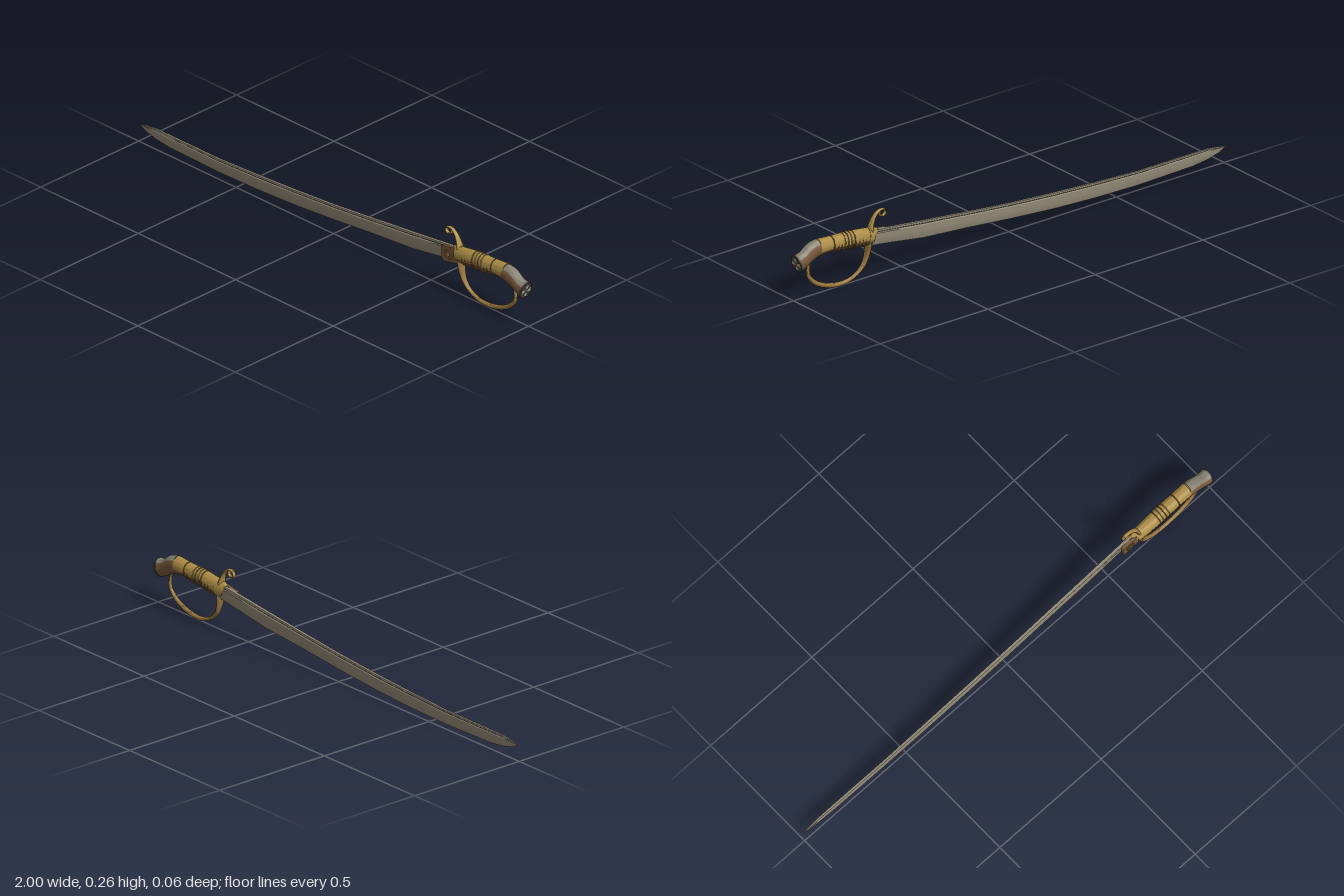
import * as THREE from 'three';
import { toCreasedNormals } from 'three/addons/utils/BufferGeometryUtils.js';

const mat = (name, color, side = THREE.FrontSide) => {
  const m = new THREE.MeshStandardMaterial({ color, side });
  m.name = name;
  return m;
};

// Skin a list of equal-length cross-sections; closed ones get end caps.
function loft(rings, closed = true, crease = 0.7) {
  const pos = [], idx = [], n = rings[0].length;
  rings.forEach(r => r.forEach(p => pos.push(p.x, p.y, p.z)));
  const cols = closed ? n : n - 1;
  for (let i = 0; i < rings.length - 1; i++) {
    for (let j = 0; j < cols; j++) {
      const a = i * n + j, b = i * n + (j + 1) % n;
      idx.push(a, b, a + n, b, b + n, a + n);
    }
  }
  if (closed) {
    [0, rings.length - 1].forEach((k, end) => {
      const c = new THREE.Vector3();
      rings[k].forEach(p => c.addScaledVector(p, 1 / n));
      const ci = pos.length / 3;
      pos.push(c.x, c.y, c.z);
      for (let j = 0; j < n; j++) {
        const a = k * n + j, b = k * n + (j + 1) % n;
        if (end) idx.push(ci, a, b); else idx.push(ci, b, a);
      }
    });
  }
  const g = new THREE.BufferGeometry();
  g.setAttribute('position', new THREE.Float32BufferAttribute(pos, 3));
  g.setIndex(idx);
  return toCreasedNormals(g, crease);
}

// Curve through stations [x, y, radius in plane, radius in z].
function rail(stations) {
  const path = new THREE.CatmullRomCurve3(stations.map(s => new THREE.Vector3(s[0], s[1], 0)));
  const size = new THREE.CatmullRomCurve3(stations.map(s => new THREE.Vector3(s[2], s[3], 0)));
  return t => ({ p: path.getPoint(t), d: path.getTangent(t), r: size.getPoint(t) });
}

// Elliptical sweep along a rail, over the whole outline or an arc of it.
function sweep(at, steps, sides, z, arc = null) {
  const rings = [];
  for (let i = 0; i <= steps; i++) {
    const { p, d, r } = at(i / steps), ring = [];
    for (let j = 0; j < (arc ? sides + 1 : sides); j++) {
      const a = arc ? arc[0] + (arc[1] - arc[0]) * j / sides : j / sides * Math.PI * 2;
      const c = Math.cos(a) * r.x;
      ring.push(new THREE.Vector3(p.x - d.y * c, p.y + d.x * c, z + Math.sin(a) * r.y));
    }
    rings.push(ring);
  }
  return loft(rings, !arc);
}

// Blade stations: x, lower edge, spine, half thickness.
const BLADE = [
  [-1, 0.064, 0.066, 0.0005], [-0.97, 0.048, 0.073, 0.003], [-0.92, 0.036, 0.079, 0.004],
  [-0.85, 0.028, 0.079, 0.005], [-0.6, 0.023, 0.079, 0.005], [-0.4, 0.027, 0.088, 0.0055],
  [-0.2, 0.037, 0.1, 0.006], [0, 0.053, 0.115, 0.006], [0.2, 0.072, 0.135, 0.0065],
  [0.3, 0.08, 0.146, 0.0065], [0.4, 0.088, 0.156, 0.007], [0.46, 0.097, 0.163, 0.007],
  [0.56, 0.112, 0.174, 0.007], [0.65, 0.124, 0.184, 0.007],
];
const BLADE_Z = -0.007;
// One lengthwise strip of the blade; outline points are [height fraction, thickness fraction].
const bladeStrip = (outline, crease) => loft(BLADE.map(([x, lo, hi, t]) =>
  outline.map(([f, w]) => new THREE.Vector3(x, lo + (hi - lo) * f, BLADE_Z + t * w))), false, crease);

export function createModel() {
  const steel = mat('blade steel', 0x928a77, THREE.DoubleSide);
  const dark = mat('dark steel', 0x45423a, THREE.DoubleSide);
  const brass = mat('brass', 0xab8c45, THREE.DoubleSide);
  const dullBrass = mat('dull brass', 0x977640, THREE.DoubleSide);
  const brown = mat('aged bronze', 0x78583a, THREE.DoubleSide);
  const cap = mat('grey cap', 0x858070, THREE.DoubleSide);
  const silver = mat('pale silver', 0xb9b3a4);
  const model = new THREE.Group();
  model.name = 'sabre';
  const add = (name, geo, material, parent = model) => {
    const m = new THREE.Mesh(geo, material);
    m.name = name;
    parent.add(m);
    return m;
  };

  // Blade: spine, shallow grooves with a dark line, rounded faces down to the edge
  add('bladeSpine', bladeStrip([[0.87, -0.7], [0.9, -1], [1, -0.85], [1, 0.85], [0.9, 1], [0.87, 0.7]], 0.4), steel);
  add('bladeFaces', bladeStrip([[0.83, 0.7], [0.78, 1], [0.5, 0.95], [0.22, 0.65], [0, 0],
    [0.22, -0.65], [0.5, -0.95], [0.78, -1], [0.83, -0.7]], 0.5), steel);
  add('frontGrooveLine', bladeStrip([[0.87, 0.7], [0.83, 0.7]], 0.4), dark);
  add('backGrooveLine', bladeStrip([[0.83, -0.7], [0.87, -0.7]], 0.4), dark);

  // Grip: brass back over a bronze belly
  const grip = rail([
    [0.635, 0.161, 0.031, 0.021], [0.68, 0.165, 0.033, 0.025], [0.73, 0.171, 0.033, 0.027],
    [0.78, 0.175, 0.032, 0.027], [0.83, 0.179, 0.03, 0.026], [0.89, 0.181, 0.033, 0.027],
  ]);
  add('gripBack', sweep(grip, 20, 16, -0.001, [-1.9, 1.9]), brass);
  add('gripBelly', sweep(grip, 20, 12, -0.001, [1.9, Math.PI * 2 - 1.9]), brown);

  // Bands: a ring at position t, lowered by drop so that only the belly shows it
  const band = (name, t, scale, drop, material) => {
    const { p, d, r } = grip(t);
    const ring = new THREE.TorusGeometry(1, 0.09, 6, 28);
    ring.scale(r.y * scale, r.x * scale, 0.024).rotateY(Math.PI / 2).rotateZ(Math.atan2(d.y, d.x));
    add(name, ring.translate(p.x, p.y - drop, -0.001), material);
  };
  for (let i = 0; i < 10; i++) band('bellyRib', 0.2 + i * 0.065, 0.95, 0.004, brown);
  [0.42, 0.48, 0.54, 0.6, 0.8].forEach((t, i) => band('gripBand', t, 1, 0, i % 2 ? brass : brown));

  // Pommel: bent bronze neck with a grey top, flaring to the end
  const neck = rail([
    [0.885, 0.181, 0.033, 0.027], [0.915, 0.174, 0.034, 0.027], [0.945, 0.157, 0.031, 0.026],
    [0.968, 0.146, 0.033, 0.027], [0.984, 0.1415, 0.036, 0.03],
  ]);
  add('pommelSides', sweep(neck, 16, 20, 0, [0.95, Math.PI * 2 - 0.95]), brown);
  add('pommelTop', sweep(neck, 16, 12, 0, [-0.95, 0.95]), cap);

  // End plate with a flared cross
  const plate = new THREE.Group();
  plate.name = 'pommelPlate';
  plate.position.set(0.984, 0.1415, 0);
  plate.rotation.z = -0.258;
  model.add(plate);
  const disc = new THREE.CylinderGeometry(1, 1, 0.006, 28).rotateZ(-Math.PI / 2).scale(1, 0.036, 0.03);
  add('plateDisc', disc, dark, plate);
  const rim = new THREE.TorusGeometry(1, 0.07, 6, 28).rotateY(Math.PI / 2).scale(0.03, 0.0335, 0.028);
  add('plateRim', rim.translate(0.002, 0, 0), dark, plate);
  const arm = new THREE.Shape([[-0.003, 0.007], [0.003, 0.007], [0.0085, 0.024], [-0.0085, 0.024]]
    .map(p => new THREE.Vector2(...p)));
  for (let i = 0; i < 4; i++) {
    const g = new THREE.ExtrudeGeometry(arm, { depth: 0.002, bevelEnabled: false });
    g.rotateZ(i * Math.PI / 2).rotateY(Math.PI / 2).scale(1, 1, 0.95).translate(0.003, 0, 0);
    add('crossArm', g, silver, plate);
  }
  add('crossCentre', new THREE.SphereGeometry(0.007, 14, 8).scale(0.5, 1, 1).translate(0.003, 0, 0), brown, plate);

  // Guard: curled upper arm, and bow running down and back to the pommel
  const quillon = rail([
    [0.652, 0.14, 0.01, 0.02], [0.648, 0.175, 0.01, 0.019], [0.64, 0.207, 0.007, 0.013],
    [0.625, 0.235, 0.006, 0.009], [0.602, 0.251, 0.0045, 0.007], [0.583, 0.249, 0.004, 0.007],
    [0.576, 0.236, 0.004, 0.007], [0.588, 0.226, 0.004, 0.007], [0.602, 0.232, 0.004, 0.007], [0.604, 0.245, 0.004, 0.007],
  ]);
  add('upperGuardArm', sweep(quillon, 54, 12, -0.003), brass);
  const bow = rail([
    [0.652, 0.15, 0.01, 0.02], [0.656, 0.11, 0.009, 0.017], [0.673, 0.06, 0.008, 0.011],
    [0.71, 0.026, 0.007, 0.008], [0.762, 0.0095, 0.0085, 0.008], [0.826, 0.014, 0.0095, 0.008],
    [0.892, 0.039, 0.009, 0.008], [0.93, 0.078, 0.008, 0.007], [0.932, 0.11, 0.007, 0.007], [0.92, 0.145, 0.007, 0.007],
  ]);
  add('knuckleBow', sweep(bow, 60, 12, -0.001), dullBrass);

  // Collar where the blade enters the guard
  const collar = rail([[0.628, 0.155, 0.033, 0.012], [0.64, 0.16, 0.034, 0.02], [0.662, 0.163, 0.034, 0.023]]);
  add('guardCollar', sweep(collar, 6, 24, -0.003), brass);

  // Ornamented plate on the front of the blade root
  const outline = new THREE.Shape();
  outline.moveTo(0.645, 0.126);
  outline.lineTo(0.59, 0.115);
  outline.quadraticCurveTo(0.567, 0.112, 0.565, 0.127);
  outline.quadraticCurveTo(0.57, 0.142, 0.564, 0.158);
  outline.quadraticCurveTo(0.564, 0.175, 0.585, 0.174);
  outline.lineTo(0.645, 0.186);
  const langet = new THREE.ExtrudeGeometry(outline, {
    depth: 0.009, bevelThickness: 0.002, bevelSize: 0.002, bevelSegments: 2, curveSegments: 8,
  });
  add('frontLanget', langet.translate(0, 0, 0.001), brown);
  add('langetRing', new THREE.TorusGeometry(0.018, 0.002, 6, 24).translate(0.599, 0.145, 0.012), dullBrass);
  add('langetBoss', new THREE.SphereGeometry(0.008, 14, 8).scale(1, 1, 0.4).translate(0.599, 0.145, 0.012), dullBrass);

  return model;
}
